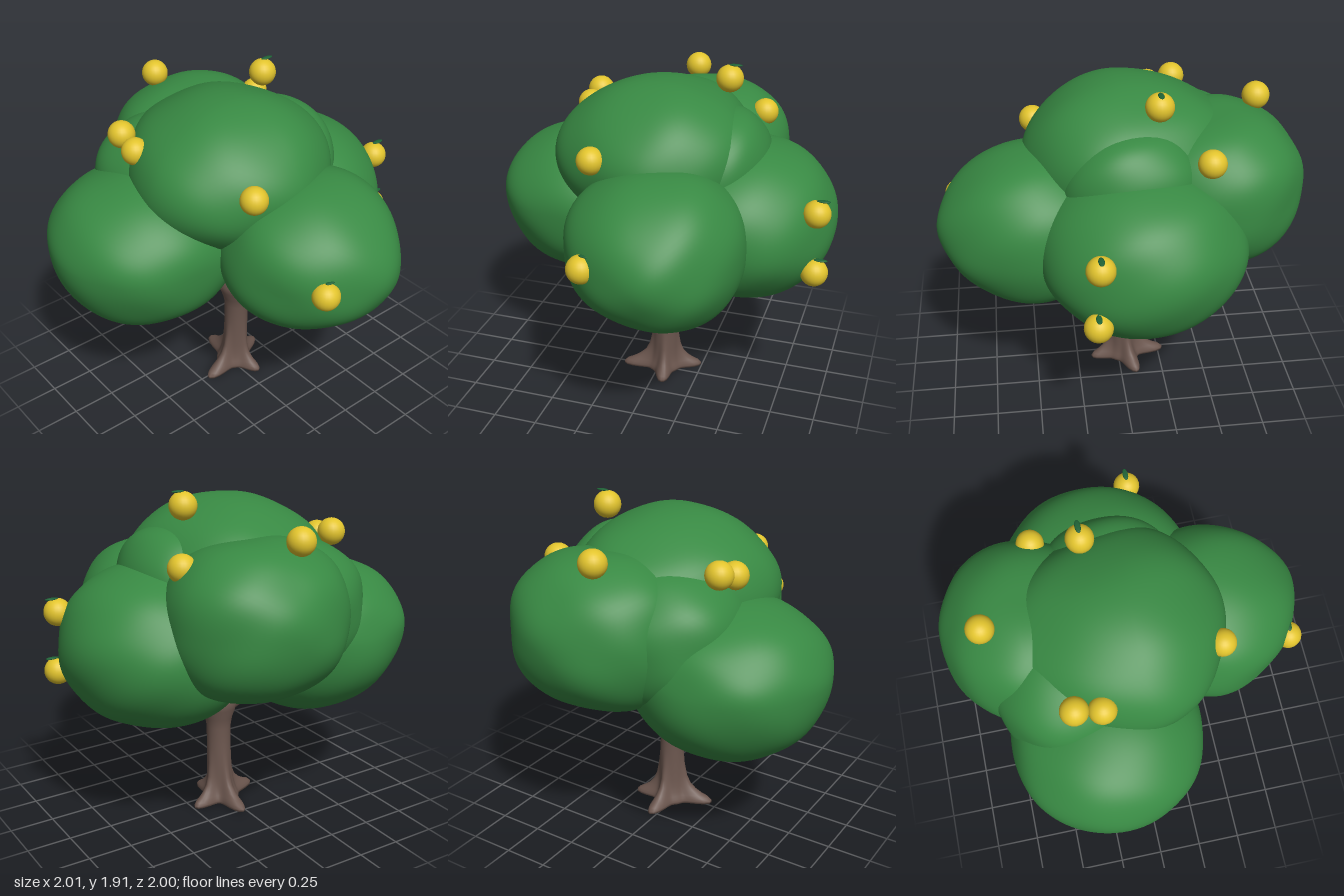
import * as THREE from 'three';
import { mergeVertices } from 'three/addons/utils/BufferGeometryUtils.js';

const mat = (name, color) => {
  const m = new THREE.MeshStandardMaterial({ color });
  m.name = name;
  return m;
};

// Share vertices so the moved surface shades smoothly
function smooth(geo) {
  geo.deleteAttribute('uv');
  geo.deleteAttribute('normal');
  const g = mergeVertices(geo, 1e-4);
  g.computeVertexNormals();
  return g;
}

// Apply a rule to every vertex
function reshape(geo, rule) {
  const p = geo.attributes.position, v = new THREE.Vector3();
  for (let i = 0; i < p.count; i++) {
    rule(v.fromBufferAttribute(p, i));
    p.setXYZ(i, v.x, v.y, v.z);
  }
  return geo;
}

// Lumpy lobe about its widest point, reaching from min to max on each axis;
// q rounds the outline seen along z, p rounds the front and back
function lobeGeometry({ centre, min, max, q, p, seed }) {
  const reach = (t, i) => centre[i] + t * (t < 0 ? centre[i] - min[i] : max[i] - centre[i]);
  return smooth(reshape(new THREE.IcosahedronGeometry(1, 16), v => {
    const { x, y, z } = v;
    const side = Math.pow(Math.abs(x) ** q + Math.abs(y) ** q, p / q);
    const k = Math.pow(side + Math.abs(z) ** p, -1 / p);
    const lump = 0.01 * Math.sin(3.1 * x + 2.3 * y + seed) * Math.cos(3.7 * z - 1.9 * y + seed * 2)
      + 0.012 * Math.sin(6.3 * y + 4.1 * z + seed * 3) * Math.cos(5.7 * x + seed);
    v.multiplyScalar(k * (1 + lump));
    v.set(reach(v.x, 0), reach(v.y, 1), reach(v.z, 2));
  }));
}

// Trunk whose base spreads into four pointed roots
function trunkGeometry() {
  const profile = [[-3.9, 0], [0.6, 0], [1, 0.004], [1, 0.018], [0.9, 0.034], [0.7, 0.05], [0.48, 0.075],
    [0.28, 0.11], [0.15, 0.16], [0.06, 0.24], [0, 0.34], [0, 0.46], [0.02, 0.52], [0.06, 0.58], [0.08, 0.63],
    [0.03, 0.69], [-0.138, 0.72]];
  const offset = 5;
  const roots = [[-0.245, 0.06], [0.04, 0.2], [0.215, -0.06], [0, -0.245]]
    .map(([x, z]) => ({ a: Math.atan2(z, x), len: Math.hypot(x, z) }));
  const geo = new THREE.LatheGeometry(profile.map(([r, y]) => new THREE.Vector2(r + offset, y)), 72);
  reshape(geo, v => {
    const a = Math.atan2(v.z, v.x), flare = Math.hypot(v.x, v.z) - offset;
    let spread = 0.035;
    for (const r of roots) {
      const d = Math.abs(Math.atan2(Math.sin(a - r.a), Math.cos(a - r.a)));
      spread = Math.max(spread, 0.035 + (r.len - 0.105) * Math.exp(-((d / 0.3) ** 2)));
    }
    const radius = Math.max(0.0005, 0.07 + flare * (v.y > 0.5 ? 0.5 : spread));
    v.set(0.03 + 0.008 * Math.sin(v.y * 5) + radius * Math.cos(a), v.y, -0.035 + 0.04 * v.y + radius * Math.sin(a));
  });
  return smooth(geo);
}

export function createModel() {
  const tree = new THREE.Group();
  tree.name = 'fruitTree';
  const bark = mat('bark brown', 0x6b564e);
  const foliage = mat('foliage green', 0x388943);
  const fruitSkin = mat('fruit yellow', 0xe2c42d);
  const leafGreen = mat('leaf dark green', 0x1f6236);

  const add = (name, geo, material, parent = tree) => {
    const m = new THREE.Mesh(geo, material);
    m.name = name;
    parent.add(m);
    return m;
  };

  // Trunk and branches
  add('trunk', trunkGeometry(), bark);
  const up = new THREE.Vector3(0, 1, 0);
  const branches = [
    [[0.03, 0.58, -0.03], [-0.3, 0.78, -0.13]],
    [[0.05, 0.57, 0], [0.31, 0.8, 0.13]],
    [[0.04, 0.58, 0], [0.03, 0.82, 0.24]],
    [[0.04, 0.6, -0.02], [0.06, 1, -0.2]],
  ];
  for (const [a, b] of branches) {
    const from = new THREE.Vector3(...a), dir = new THREE.Vector3(...b).sub(from);
    const m = add('branch', new THREE.CylinderGeometry(0.026, 0.056, dir.length(), 16), bark);
    m.position.copy(from).addScaledVector(dir, 0.5);
    m.quaternion.setFromUnitVectors(up, dir.normalize());
  }

  // Foliage lobes
  const lobes = [
    { name: 'rightFoliage', centre: [-0.44, 1.08, -0.22], min: [-1, 0.58, -0.74], max: [0.1, 1.455, 0.31], q: 2.1, p: 2.05 },
    { name: 'frontFoliage', centre: [0.18, 1.09, 0.48], min: [-0.36, 0.67, -0.04], max: [0.61, 1.51, 1], q: 2.25, p: 1.87 },
    { name: 'leftFoliage', centre: [0.48, 1.08, -0.08], min: [-0.06, 0.64, -0.63], max: [0.99, 1.52, 0.47], q: 2.1, p: 2.05 },
    { name: 'backFoliage', centre: [0.14, 1.28, -0.56], min: [-0.35, 0.86, -1], max: [0.63, 1.7, -0.02], q: 2.4, p: 1.95 },
    { name: 'topFoliage', centre: [0.04, 1.41, 0], min: [-0.58, 0.98, -0.7], max: [0.55, 1.835, 0.52], q: 2, p: 1.9 },
    { name: 'leftUpperFoliage', centre: [0.33, 1.35, -0.04], min: [0, 1, -0.42], max: [0.63, 1.7, 0.34], q: 2.4, p: 2.1 },
    { name: 'rightUpperFoliage', centre: [-0.12, 1.25, -0.36], min: [-0.59, 0.86, -0.78], max: [0.35, 1.64, 0.1], q: 2.5, p: 2.2 },
  ];
  lobes.forEach((lobe, i) => add(lobe.name, lobeGeometry({ ...lobe, seed: i * 1.7 + 0.4 }), foliage));

  // Fruits: x, y, z, with leaf
  const fruits = [
    [0.35, 1.825, -0.175, true], [0.92, 1.255, 0.185, true], [0.93, 0.92, 0.2, true], [-0.125, 1.125, 0.89, true],
    [-0.47, 1.63, -0.37], [-0.48, 1.59, -0.23], [-0.23, 1.515, 0.45], [0.02, 1.71, -0.75], [0.505, 1.57, -0.425],
  ];
  const ball = new THREE.SphereGeometry(0.075, 24, 16);
  const leaf = new THREE.SphereGeometry(1, 12, 8).scale(0.038, 0.006, 0.016);
  for (const [x, y, z, hasLeaf] of fruits) {
    const g = new THREE.Group();
    g.name = 'fruit';
    g.position.set(x, y, z);
    tree.add(g);
    add('fruitBall', ball, fruitSkin, g);
    if (hasLeaf) add('fruitLeaf', leaf, leafGreen, g).position.set(0.03, 0.076, 0);
  }
  return tree;
}
